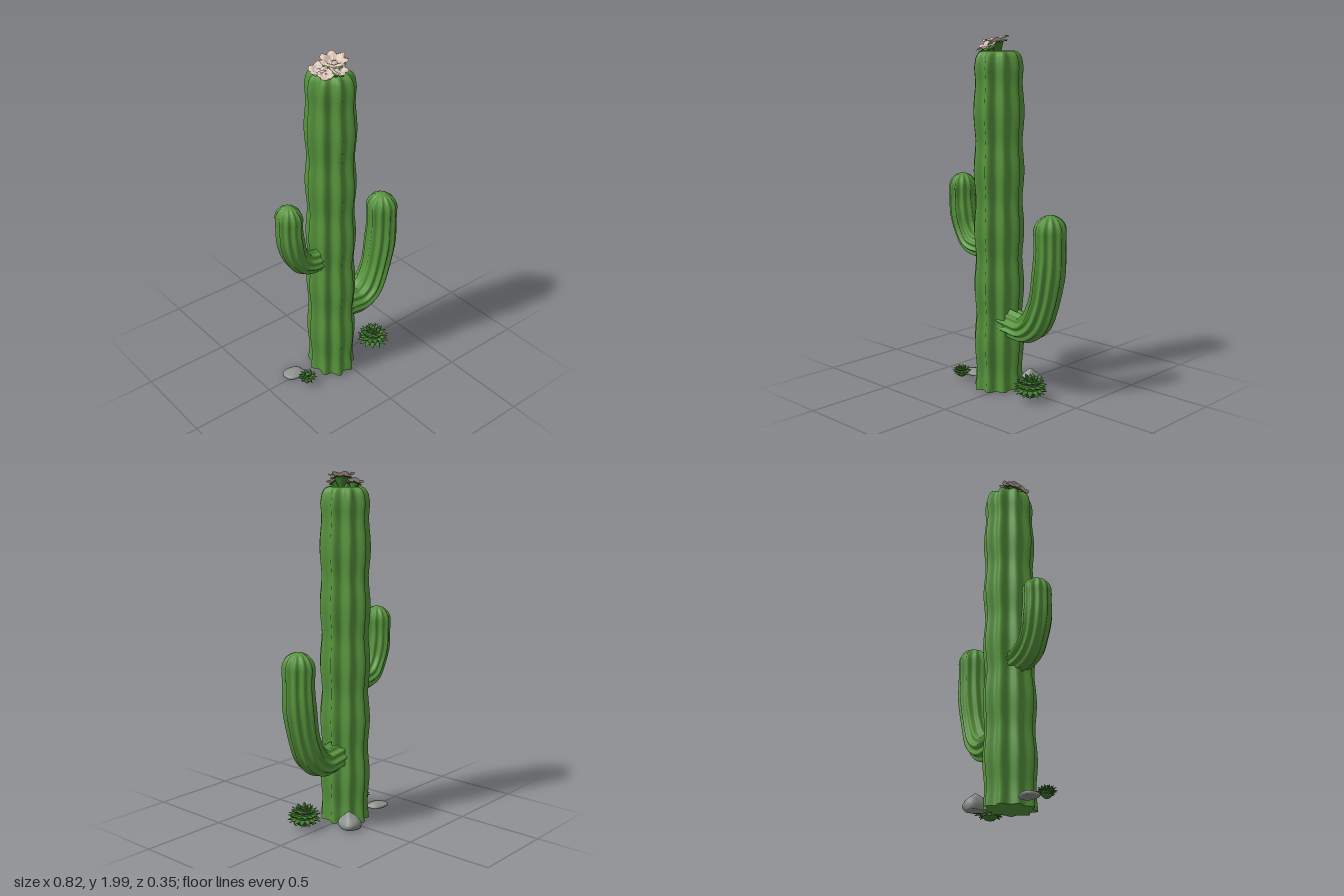
import * as THREE from 'three';
import { mergeGeometries, mergeVertices } from 'three/addons/utils/BufferGeometryUtils.js';

const mat = (name, color, side = THREE.FrontSide) => {
  const m = new THREE.MeshStandardMaterial({ color, side });
  m.name = name;
  return m;
};

// Grid of rows x cols vertices, closed around the columns; smooth normals
function gridGeometry(rows, cols, pointAt) {
  const pos = [], idx = [];
  for (let i = 0; i < rows; i++)
    for (let j = 0; j < cols; j++) pos.push(...pointAt(i, (j / cols) * Math.PI * 2));
  for (let i = 0; i < rows - 1; i++)
    for (let j = 0; j < cols; j++) {
      const k = (j + 1) % cols;
      const a = i * cols + j, b = (i + 1) * cols + j, c = i * cols + k, d = (i + 1) * cols + k;
      idx.push(a, b, c, c, b, d);
    }
  const g = new THREE.BufferGeometry();
  g.setAttribute('position', new THREE.Float32BufferAttribute(pos, 3));
  g.setIndex(idx);
  g.computeVertexNormals();
  return g;
}

// Fluted body through rows of { x, y, tx, ty, r }, where r is the ridge radius
function ribbed(rows, ribs, depth, sx, sz, phase) {
  return gridGeometry(rows.length, ribs * 10, (i, a) => {
    const { x, y, tx, ty, r } = rows[i];
    const ridge = Math.pow((1 + Math.cos(ribs * (a - phase))) / 2, 1.2);
    const rr = r * (1 - depth * (1 - ridge));
    const n = rr * sx * Math.cos(a);
    return [x + ty * n, y - tx * n, rr * sz * Math.sin(a)];
  });
}

// Arm rows: a curved centre line followed by a round dome
function armRows(points, r0, r1, domeHeight) {
  const curve = new THREE.CatmullRomCurve3(points.map(([x, y]) => new THREE.Vector3(x, y, 0)));
  const rows = [], n = 40;
  for (let i = 0; i <= n; i++) {
    const u = i / n, p = curve.getPointAt(u), t = curve.getTangentAt(u);
    const r = THREE.MathUtils.lerp(r0, r1, Math.min(1, u * 1.4)) * (1 + 0.025 * Math.cos((u - 0.7) * 16));
    rows.push({ x: p.x, y: p.y, tx: t.x, ty: t.y, r });
  }
  const end = rows[n];
  for (let i = 1; i <= 10; i++) {
    const a = (i / 10) * Math.PI / 2;
    rows.push({ ...end, y: end.y + domeHeight * Math.sin(a), tx: 0, ty: 1, r: end.r * Math.max(0.001, Math.cos(a)) });
  }
  return rows;
}

// One pointed fleshy leaf along +y, base at the origin
function leafGeometry(length, width, thick) {
  const g = new THREE.SphereGeometry(1, 8, 8);
  const p = g.attributes.position;
  for (let i = 0; i < p.count; i++) {
    const t = (p.getY(i) + 1) / 2;
    const pinch = t > 0.6 ? 1 - 0.75 * (t - 0.6) / 0.4 : 1;
    p.setXYZ(i, p.getX(i) * width * pinch, t * length, p.getZ(i) * thick * pinch + 0.12 * length * t * t);
  }
  g.computeVertexNormals();
  return g;
}

// Rosette: rings of leaves, each ring { count, tilt from vertical, length }
function rosette(rings, width, core) {
  const parts = [new THREE.SphereGeometry(core, 16, 10)];
  rings.forEach(({ count, tilt, length }, k) => {
    for (let i = 0; i < count; i++) {
      const g = leafGeometry(length, width, width * 0.45);
      g.rotateX(tilt);
      g.rotateY(((i + (k % 2) * 0.5) / count) * Math.PI * 2);
      parts.push(g);
    }
  });
  return mergeGeometries(parts);
}

// Smooth stone flattened on the ground; shape(v) bends the unit sphere
function stone(shape) {
  const ico = new THREE.IcosahedronGeometry(1, 5);
  ico.deleteAttribute('normal');
  ico.deleteAttribute('uv');
  const g = mergeVertices(ico, 1e-4);
  const p = g.attributes.position, v = new THREE.Vector3();
  for (let i = 0; i < p.count; i++) {
    v.fromBufferAttribute(p, i);
    v.multiplyScalar(1 + 0.07 * Math.sin(3 * v.x + 1) * Math.cos(4 * v.z) + 0.05 * Math.sin(5 * v.y + 2 * v.x));
    shape(v);
    p.setXYZ(i, v.x, Math.max(0, v.y), v.z);
  }
  g.computeVertexNormals();
  return g;
}

// Scalloped shallow dish facing +y
const dish = (radius, petals, cup, ripple) => gridGeometry(9, petals * 10, (i, a) => {
  const t = Math.max(0.001, 1 - i / 8);
  const lobe = Math.pow(Math.abs(Math.cos(petals * a / 2)), 0.7);
  const r = radius * t * (1 - 0.24 * t * (1 - lobe));
  const y = radius * (cup * t * t + ripple * t * Math.sin(petals * a + 1) + 0.08 * Math.cos(t * 9));
  return [r * Math.cos(a), y, r * Math.sin(a)];
});

export function createModel() {
  const model = new THREE.Group();
  model.name = 'cactus';
  const green = mat('cactus green', 0x56943c);
  const leafGreen = mat('succulent green', 0x3f762b);
  const sepalGreen = mat('sepal green', 0x427a30, THREE.DoubleSide);
  const pink = mat('petal pink', 0xdcc5b8, THREE.DoubleSide);
  const grey = mat('stone grey', 0x8b928d);

  const add = (parent, name, geometry, material, x = 0, y = 0, z = 0) => {
    const m = new THREE.Mesh(geometry, material);
    m.name = name;
    m.position.set(x, y, z);
    parent.add(m);
    return m;
  };

  // Trunk: nine ridges, gentle swellings, crown dipping in the middle
  const trunkRows = [];
  const row = (y, r) => trunkRows.push({ x: 0, y, tx: 0, ty: 1, r });
  for (let i = 0; i <= 60; i++) {
    const y = (i / 60) * 1.81;
    const swell = Math.pow(Math.abs(Math.cos(Math.PI * (y - 1.57) / 0.325)), 1.6);
    row(y, 0.141 + 0.012 * swell);
  }
  [[1.84, 0.143], [1.865, 0.138], [1.885, 0.127], [1.897, 0.112], [1.902, 0.095], [1.898, 0.077],
    [1.887, 0.058], [1.873, 0.038], [1.864, 0.018], [1.862, 0.0002]].forEach(([y, r]) => row(y, r));
  trunkRows.unshift({ ...trunkRows[0] }, { ...trunkRows[0] });
  trunkRows[0].r = 0.0002;
  const trunk = add(model, 'trunk', ribbed(trunkRows.slice(2), 9, 0.2, 0.89, 1, -Math.PI / 2), green, -0.055, 0, 0.025);
  add(trunk, 'trunkBase', ribbed(trunkRows.slice(0, 2), 9, 0.2, 0.89, 1, -Math.PI / 2), green);

  // Arms
  const leftPath = [[0, 0.4], [0.08, 0.387], [0.15, 0.382], [0.225, 0.43], [0.28, 0.54], [0.312, 0.68], [0.325, 0.8], [0.325, 0.95]];
  const rightPath = [[-0.1, 0.805], [-0.2, 0.803], [-0.262, 0.828], [-0.312, 0.9], [-0.335, 0.99], [-0.342, 1.06], [-0.342, 1.13]];
  add(model, 'leftArm', ribbed(armRows(leftPath, 0.083, 0.086, 0.09), 11, 0.16, 1, 1.14, 0.1), green, 0, 0, 0.022);
  add(model, 'rightArm', ribbed(armRows(rightPath, 0.068, 0.073, 0.08), 11, 0.16, 1, 1.16, 0.1), green, 0, 0, 0.025);

  // Flowers on the crown: centre, right and front blooms
  const blooms = [
    { at: [-0.05, 1.957, 0.045], tilt: [0.15, 0, 0.12], r: 0.076, petals: 7, turn: 0.2 },
    { at: [-0.125, 1.925, 0.015], tilt: [0.1, 0, 0.35], r: 0.052, petals: 5, turn: 0.9 },
    { at: [-0.06, 1.932, 0.095], tilt: [0.45, 0, 0], r: 0.052, petals: 6, turn: 0.5 },
    { at: [-0.125, 1.918, 0.075], tilt: [0.4, 0, 0.35], r: 0.044, petals: 5, turn: 0.1 },
  ];
  for (const { at, tilt, r, petals, turn } of blooms) {
    const bloom = new THREE.Group();
    bloom.name = 'flower';
    bloom.position.set(...at);
    bloom.rotation.set(...tilt);
    model.add(bloom);
    add(bloom, 'petals', dish(r, petals, 0.22, 0.07), pink).rotation.y = turn;
    add(bloom, 'sepals', dish(r * 0.82, petals, 0.1, 0.04), sepalGreen, 0, -0.012, 0).rotation.y = turn;
    add(bloom, 'calyx', new THREE.CylinderGeometry(r * 0.5, r * 0.2, 0.05, 12), sepalGreen, 0, -0.036, 0);
  }

  // Rosette succulents
  add(model, 'largeSucculent', rosette([
    { count: 9, tilt: 2.05, length: 0.075 }, { count: 13, tilt: 1.65, length: 0.097 },
    { count: 13, tilt: 1.25, length: 0.096 }, { count: 10, tilt: 0.88, length: 0.09 },
    { count: 7, tilt: 0.5, length: 0.085 }, { count: 4, tilt: 0.2, length: 0.078 },
  ], 0.019, 0.056), leafGreen, 0.235, 0.068, 0.075);
  add(model, 'smallSucculent', rosette([
    { count: 8, tilt: 1.7, length: 0.045 }, { count: 11, tilt: 1.3, length: 0.057 },
    { count: 9, tilt: 0.95, length: 0.056 }, { count: 6, tilt: 0.5, length: 0.046 },
  ], 0.012, 0.03), leafGreen, -0.29, 0.043, 0.095);

  // Stones
  add(model, 'backStone', stone(v => {
    const peak = 1 - 0.45 * Math.max(0, v.y);
    v.set(v.x * 0.056 * peak * (1 - 0.25 * v.z), 0.03 + v.y * 0.065, v.z * 0.073 * peak);
  }), grey, 0.063, 0, -0.112);
  add(model, 'sideStone', stone(v => {
    v.set(v.x * 0.064 + v.z * 0.008, 0.008 + v.y * 0.024 * (1 + 0.3 * v.x), v.z * 0.052);
  }), grey, -0.307, 0, -0.02);

  return model;
}
